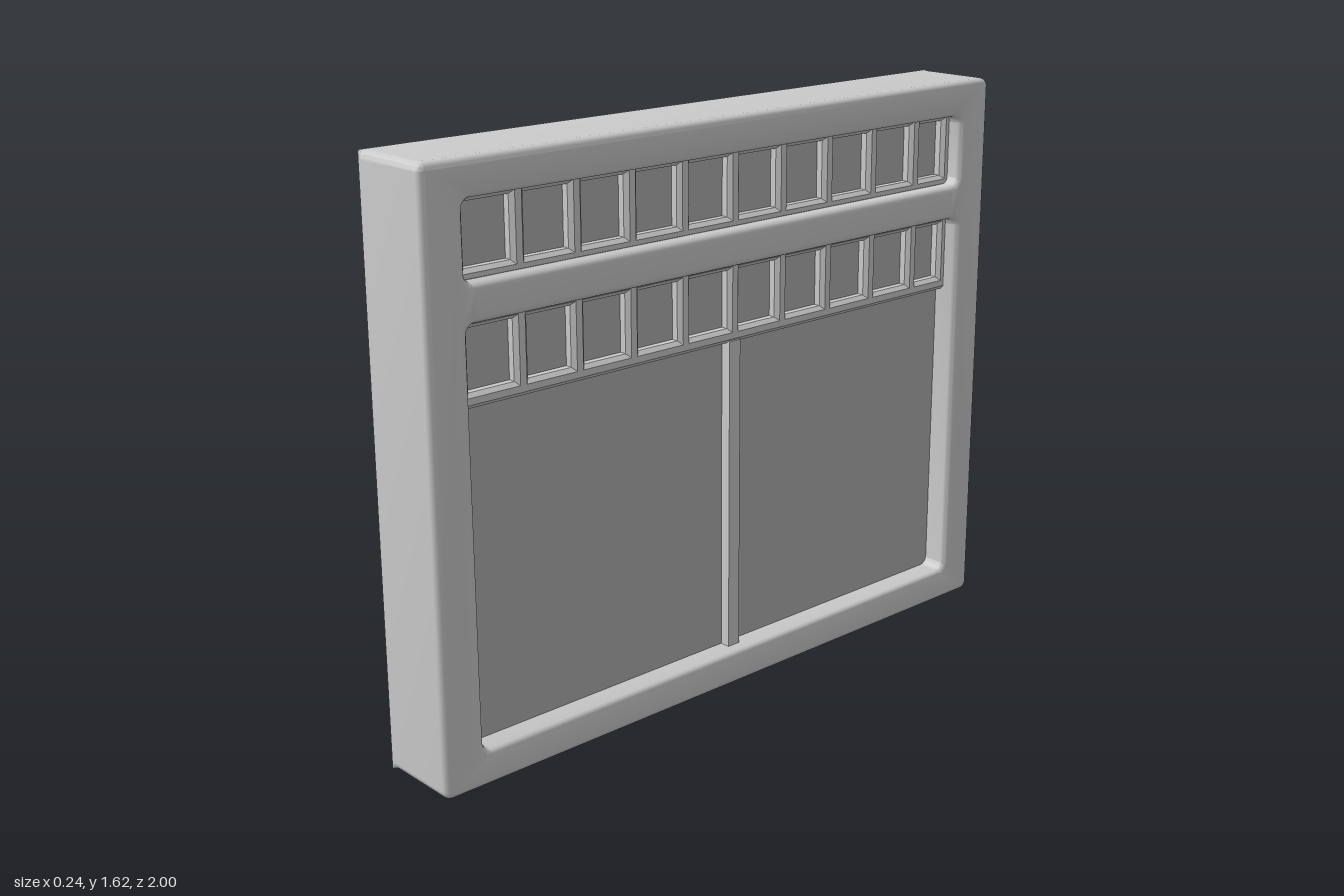
import * as THREE from 'three';
import { toCreasedNormals } from 'three/addons/utils/BufferGeometryUtils.js';

const frameMaterial = new THREE.MeshStandardMaterial({ color: 0xcccccc });
const paneMaterial = new THREE.MeshStandardMaterial({ color: 0xb0b0b0 });

// Rounded rectangle path; s runs along -z once the extrusion is turned to face +x
function roundedRect(path, s0, s1, y0, y1, r) {
  path.moveTo(s0 + r, y0);
  path.lineTo(s1 - r, y0);
  path.absarc(s1 - r, y0 + r, r, -Math.PI / 2, 0);
  path.lineTo(s1, y1 - r);
  path.absarc(s1 - r, y1 - r, r, 0, Math.PI / 2);
  path.lineTo(s0 + r, y1);
  path.absarc(s0 + r, y1 - r, r, Math.PI / 2, Math.PI);
  path.lineTo(s0, y0 + r);
  path.absarc(s0 + r, y0 + r, r, Math.PI, Math.PI * 1.5);
  return path;
}

function rectangle(path, s0, s1, y0, y1) {
  path.moveTo(s0, y0);
  path.lineTo(s1, y0);
  path.lineTo(s1, y1);
  path.lineTo(s0, y1);
  path.closePath();
  return path;
}

// Extrude a shape from x0 to x1, with its bevels inside that depth
function extrudeX(shape, x0, x1, bevel, segments) {
  const geometry = new THREE.ExtrudeGeometry(shape, {
    depth: x1 - x0 - 2 * bevel, curveSegments: 5,
    bevelThickness: bevel, bevelSize: bevel, bevelOffset: -bevel, bevelSegments: segments,
  });
  geometry.translate(0, 0, x0 + bevel);
  geometry.rotateY(Math.PI / 2);
  return geometry;
}

function addMesh(group, name, geometry, material = frameMaterial) {
  const mesh = new THREE.Mesh(geometry, material);
  mesh.name = name;
  group.add(mesh);
  return mesh;
}

function addBox(group, name, x0, x1, y0, y1, s0, s1, material) {
  const geometry = new THREE.BoxGeometry(x1 - x0, y1 - y0, s1 - s0);
  addMesh(group, name, geometry, material)
    .position.set((x0 + x1) / 2, (y0 + y1) / 2, -(s0 + s1) / 2);
}

// Frame with two softly rounded openings; its outer back edge stays sharp
function frameGeometry() {
  const bevel = 0.02, back = -0.12, bottom = 0.012, top = 1.62;
  const shape = roundedRect(new THREE.Shape(), -1, 1, bottom, top, 0.025);
  shape.holes.push(
    roundedRect(new THREE.Path(), -0.877, 0.877, 0.11, 1.22, 0.025),
    roundedRect(new THREE.Path(), -0.877, 0.877, 1.32, 1.52, 0.025));
  const geometry = extrudeX(shape, back, 0.12, bevel, 4);
  const p = geometry.attributes.position;
  const midY = (bottom + top) / 2, halfY = (top - bottom) / 2;
  for (let i = 0; i < p.count; i++) {
    const t = (back + bevel - p.getX(i)) / bevel;
    const y = p.getY(i) - midY, z = p.getZ(i);
    const outer = Math.abs(z) > 0.94 || Math.abs(y) > halfY - 0.05;
    if (t <= 0 || !outer) continue;
    const inset = bevel * (1 - Math.sqrt(Math.max(0, 1 - t * t)));
    p.setY(i, midY + y * halfY / (halfY - inset));
    p.setZ(i, z / (1 - inset));
  }
  return toCreasedNormals(geometry, 0.6);
}

// Row of small lights divided by bevelled glazing bars
function latticeGeometry(y0, y1, holeY0, holeY1) {
  const pitch = 0.178, firstBar = -0.691, half = 0.021;
  const shape = rectangle(new THREE.Shape(), -0.885, 0.885, y0, y1);
  for (let k = 0; k < 10; k++) {
    const start = k === 0 ? -0.85 : firstBar + (k - 1) * pitch + half;
    const end = k === 9 ? 0.85 : firstBar + k * pitch - half;
    shape.holes.push(rectangle(new THREE.Path(), start, end, holeY0, holeY1));
  }
  return toCreasedNormals(extrudeX(shape, -0.05, 0.08, 0.011, 1), 0.3);
}

export function createModel() {
  const model = new THREE.Group();
  model.name = 'window';

  addMesh(model, 'frame', frameGeometry());

  addMesh(model, 'upperLattice', latticeGeometry(1.31, 1.53, 1.345, 1.505));
  addMesh(model, 'lowerLattice', latticeGeometry(1.0, 1.23, 1.04, 1.2));

  // Central upright, which passes through the sill
  addBox(model, 'mullion', -0.05, 0.08, 0, 1.005, 0, 0.04);

  // Panes set inside the openings
  addBox(model, 'upperPane', -0.03, 0.05, 1.31, 1.53, -0.885, 0.885, paneMaterial);
  addBox(model, 'lowerPane', -0.03, 0.05, 0.1, 1.23, -0.885, 0.885, paneMaterial);

  return model;
}
